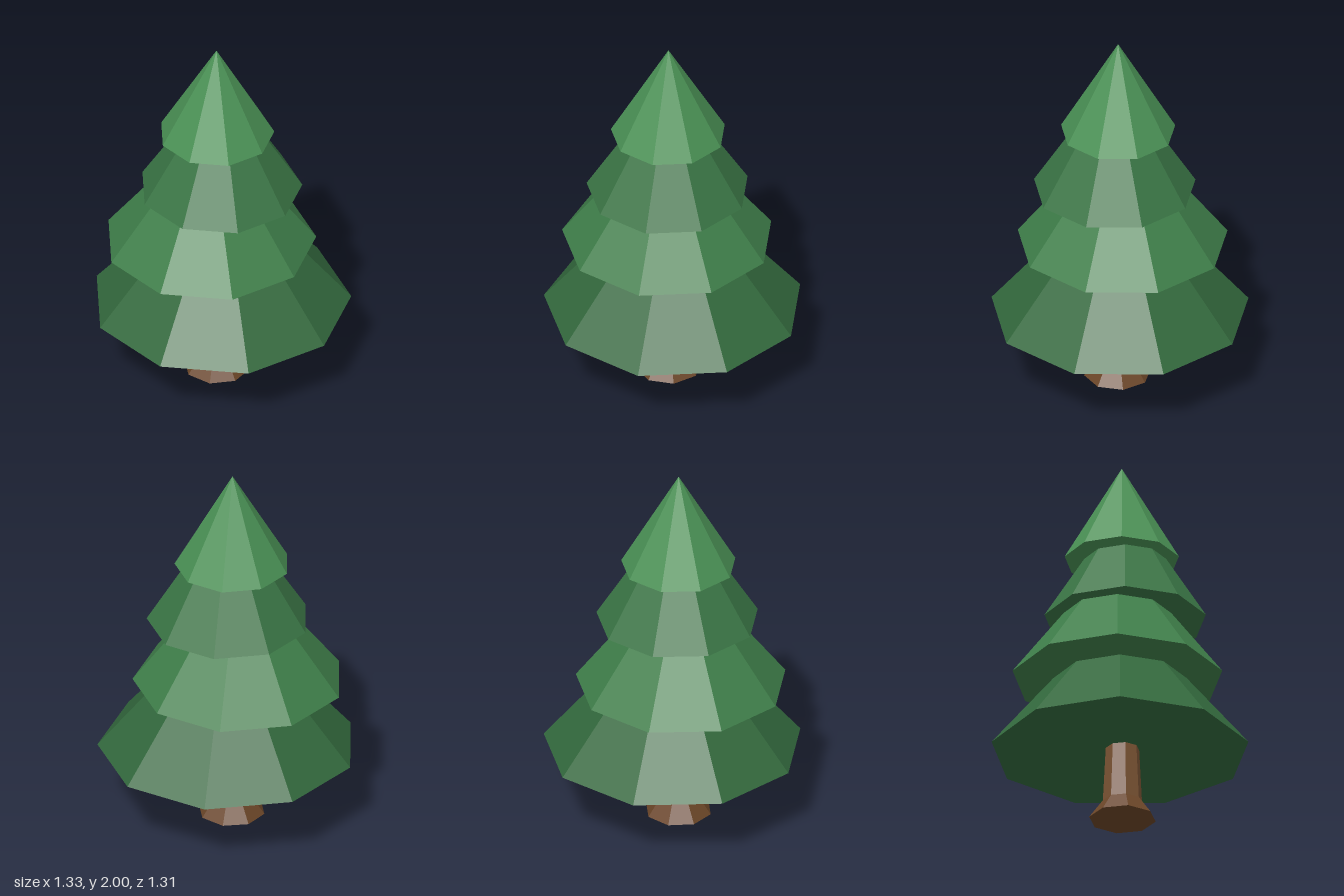
import * as THREE from 'three';

const mat = (color) => new THREE.MeshStandardMaterial({ color, flatShading: true });

export function createModel() {
  const tree = new THREE.Group();
  tree.name = 'pineTree';

  const add = (name, geometry, color, x, y, z) => {
    const mesh = new THREE.Mesh(geometry, mat(color));
    mesh.name = name;
    mesh.position.set(x, y, z);
    tree.add(mesh);
  };

  // Eight-sided trunk: a flared foot and a slightly tapered shaft
  const trunkX = -0.028, trunkZ = 0.023;
  add('trunkFoot', new THREE.CylinderGeometry(0.103, 0.175, 0.1, 8), 0x6b4628, trunkX, 0.05, trunkZ);
  add('trunkShaft', new THREE.CylinderGeometry(0.087, 0.103, 0.32, 8), 0x7d5535, trunkX, 0.26, trunkZ);

  // Nine-sided foliage cones, each a little off centre: [x, z, base y, apex y, radius, colour]
  const tiers = [
    [0, 0.015, 0.4, 1.21, 0.675, 0x33693d],
    [-0.053, -0.008, 0.79, 1.51, 0.551, 0x3f7f4a],
    [-0.018, 0.039, 1.14, 1.82, 0.424, 0x3a7545],
    [-0.03, 0.019, 1.475, 2, 0.3, 0x4a9155],
  ];
  tiers.forEach(([x, z, base, apex, radius, color], i) => {
    const cone = new THREE.ConeGeometry(radius, apex - base, 9);
    cone.rotateY(Math.PI); // one corner points to the back
    add(`foliageTier${i + 1}`, cone, color, x, (base + apex) / 2, z);
  });

  return tree;
}
